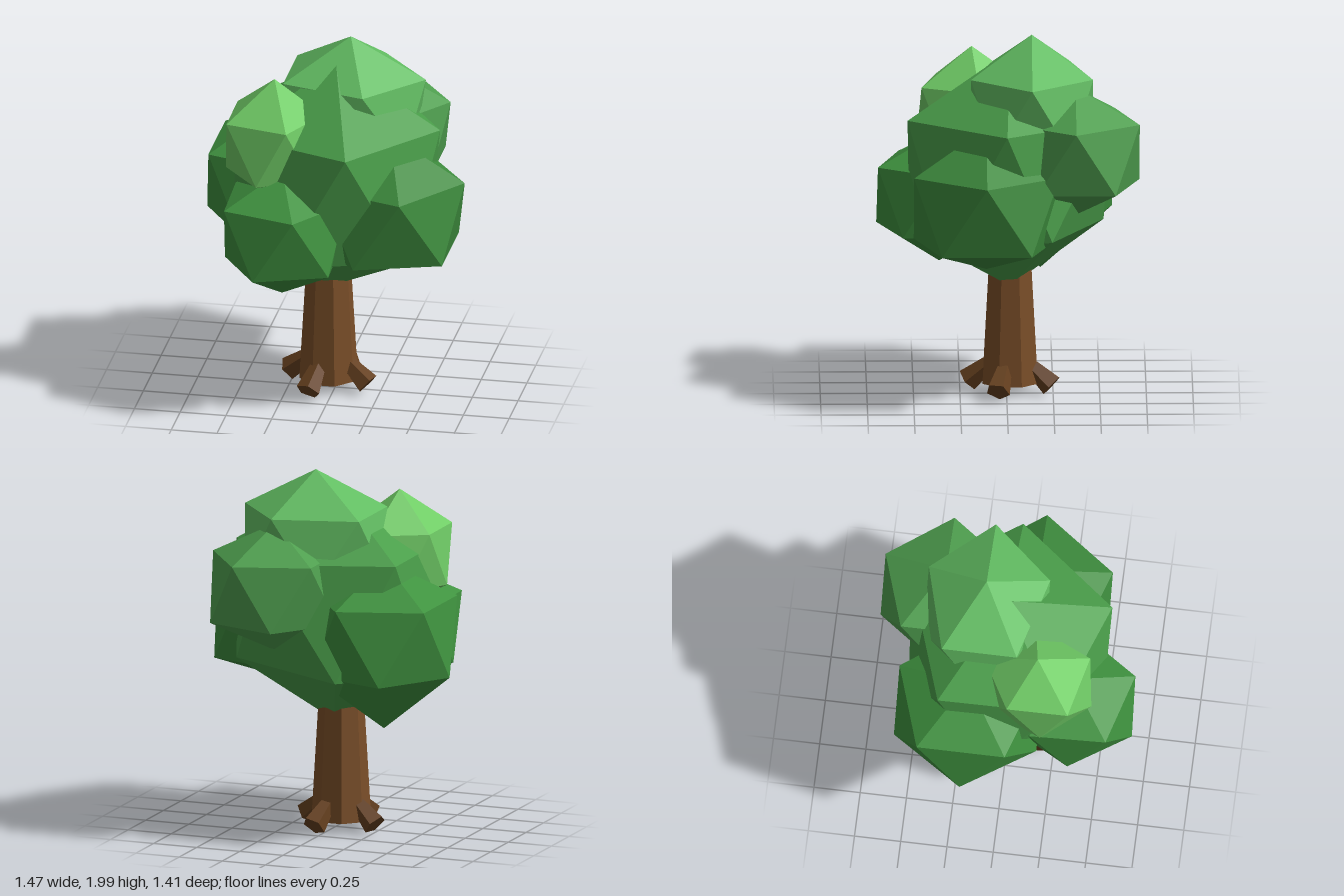
import * as THREE from 'three';
import { ConvexGeometry } from 'three/addons/geometries/ConvexGeometry.js';

const flat = (color) => new THREE.MeshStandardMaterial({ color, flatShading: true });

// Faceted leaf clump: a top point, two staggered five-sided rings and a bottom point.
// y = [top, upper ring, lower ring, bottom], rx / rz = ring radii, yaw in degrees
// nudge = small offsets of single ring points
function leafClump({ name, x, z, y, rx, rz = rx, yaw = 0, color, nudge = {} }) {
  const points = [new THREE.Vector3(x, y[0], z), new THREE.Vector3(x, y[3], z)];
  for (let i = 0; i < 10; i++) {
    const a = THREE.MathUtils.degToRad(yaw + i * 36);
    const p = new THREE.Vector3(x + rx * Math.cos(a), y[1 + (i % 2)], z + rz * Math.sin(a));
    if (nudge[i]) p.add(new THREE.Vector3(...nudge[i]));
    points.push(p);
  }
  const mesh = new THREE.Mesh(new ConvexGeometry(points), flat(color));
  mesh.name = name;
  return mesh;
}

// Tapered stub between two points
function stub(from, to, r0, r1, sides, material) {
  const dir = to.clone().sub(from);
  const mesh = new THREE.Mesh(new THREE.CylinderGeometry(r1, r0, dir.length(), sides), material);
  mesh.position.copy(from).add(to).multiplyScalar(0.5);
  mesh.quaternion.setFromUnitVectors(new THREE.Vector3(0, 1, 0), dir.normalize());
  return mesh;
}

export function createModel() {
  const tree = new THREE.Group();
  tree.name = 'tree';

  // Trunk
  const cx = -0.04, cz = -0.02;
  const trunk = new THREE.Mesh(new THREE.CylinderGeometry(0.115, 0.16, 0.78, 8), flat(0x7a4e28));
  trunk.name = 'trunk';
  trunk.rotation.y = Math.PI / 8;
  trunk.position.set(cx, 0.455, cz);
  tree.add(trunk);

  // Four roots in a pinwheel round the foot
  const roots = new THREE.Group();
  roots.name = 'roots';
  const bark = flat(0x65401f);
  for (let i = 0; i < 4; i++) {
    const a = THREE.MathUtils.degToRad(17 + i * 90);
    const at = (r, y) => new THREE.Vector3(cx + r * Math.cos(a), y, cz + r * Math.sin(a));
    const root = stub(at(0.1, 0.175), at(0.235, 0.06), 0.04, 0.067, 5, bark);
    root.name = 'root';
    roots.add(root);
  }
  tree.add(roots);

  // Crown
  const crown = new THREE.Group();
  crown.name = 'crown';
  [
    { name: 'coreLeaves', x: 0, z: -0.02, y: [1.9, 1.55, 0.9, 0.6], rx: 0.575, yaw: 2, color: 0x4a9e4a,
      nudge: { 6: [-0.03, 0, 0.04], 7: [-0.05, 0.02, 0.05], 9: [0, 0.05, 0.1] } },
    { name: 'topLeaves', x: 0.06, z: -0.135, y: [2, 1.78, 1.42, 1.2], rx: 0.41, rz: 0.345, color: 0x62bd62 },
    { name: 'upperRightLeaves', x: -0.295, z: 0.185, y: [1.855, 1.65, 1.34, 1.2], rx: 0.26, rz: 0.3, yaw: -8, color: 0x70cc66,
      nudge: { 4: [-0.04, 0, -0.02] } },
    { name: 'lowerFrontLeaves', x: -0.22, z: 0.36, y: [1.4, 1.23, 0.88, 0.69], rx: 0.35, yaw: -2, color: 0x3f923f,
      nudge: { 5: [0.04, 0, 0] } },
    { name: 'lowerLeftLeaves', x: 0.32, z: 0.11, y: [1.55, 1.3, 0.91, 0.77], rx: 0.41, color: 0x3d8b3d },
    { name: 'lowerRightLeaves', x: -0.355, z: -0.185, y: [1.54, 1.33, 0.93, 0.62], rx: 0.405, color: 0x3f923f,
      nudge: { 5: [0.025, 0, 0] } },
    { name: 'backLeaves', x: 0.2, z: -0.37, y: [1.74, 1.56, 1.21, 1.04], rx: 0.36, color: 0x4f9f4f },
  ].forEach((c) => crown.add(leafClump(c)));
  tree.add(crown);

  return tree;
}
